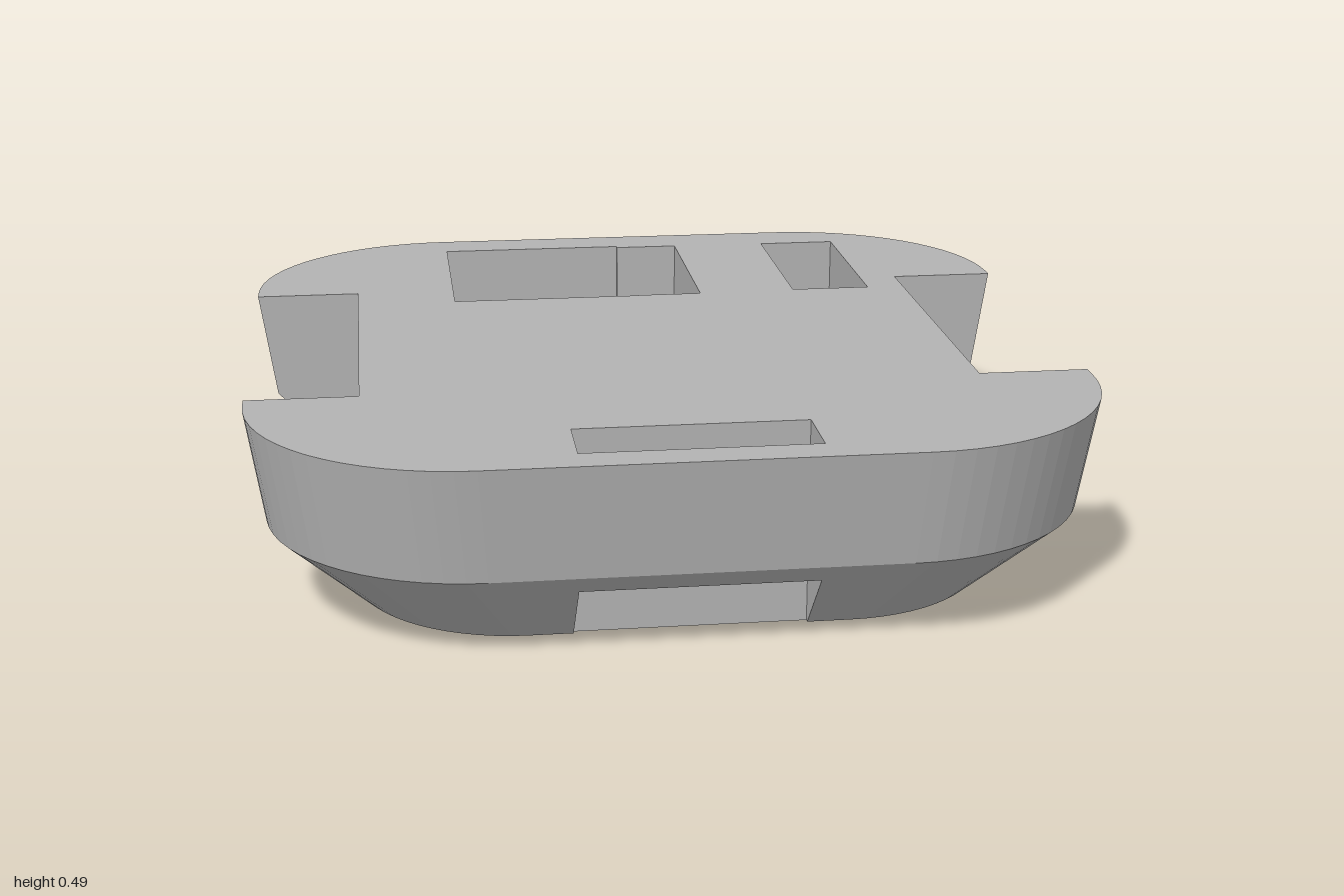
import * as THREE from 'three';

const V = (x, y, z) => new THREE.Vector3(x, y, z);
const EPS = 1e-6;

// Splits a convex polygon by a plane into the parts in front and behind.
function split(poly, plane) {
  const front = [], back = [];
  poly.forEach((a, i) => {
    const b = poly[(i + 1) % poly.length];
    const da = plane.distanceToPoint(a), db = plane.distanceToPoint(b);
    if (da >= -EPS) front.push(a);
    if (da <= EPS) back.push(a);
    if ((da > EPS && db < -EPS) || (da < -EPS && db > EPS)) {
      const p = a.clone().lerp(b, da / (da - db));
      front.push(p);
      back.push(p);
    }
  });
  const ok = (side, sign) => side.length > 2 &&
    side.some(p => sign * plane.distanceToPoint(p) > EPS) ? side : null;
  return { front: ok(front, 1), back: ok(back, -1) };
}

const planeOf = poly => new THREE.Plane().setFromCoplanarPoints(poly[0], poly[1], poly[2]);

// Part of a polygon inside a convex solid, or null.
function clipInside(poly, planes) {
  for (const plane of planes) {
    if (!poly) return null;
    poly = split(poly, plane).back;
  }
  return poly;
}

// Parts of a polygon outside a convex solid.
function cutAway(poly, planes) {
  if (!clipInside(poly, planes)) return [poly];
  const kept = [];
  for (const plane of planes) {
    const { front, back } = split(poly, plane);
    if (front) kept.push(front);
    if (!back) break;
    poly = back;
  }
  return kept;
}

// Six outward faces of an axis-aligned box.
function boxFaces([x0, x1], [y0, y1], [z0, z1]) {
  return [
    [V(x1, y0, z1), V(x1, y0, z0), V(x1, y1, z0), V(x1, y1, z1)],
    [V(x0, y0, z0), V(x0, y0, z1), V(x0, y1, z1), V(x0, y1, z0)],
    [V(x0, y1, z1), V(x1, y1, z1), V(x1, y1, z0), V(x0, y1, z0)],
    [V(x0, y0, z0), V(x1, y0, z0), V(x1, y0, z1), V(x0, y0, z1)],
    [V(x0, y0, z1), V(x1, y0, z1), V(x1, y1, z1), V(x0, y1, z1)],
    [V(x1, y0, z0), V(x0, y0, z0), V(x0, y1, z0), V(x1, y1, z0)],
  ];
}

// Rounded square with corner radius proportional to its half width.
function ring(half, y, steps = 16) {
  const pts = [], r = half * 0.51, c = half - r;
  [[1, 1], [-1, 1], [-1, -1], [1, -1]].forEach(([sx, sz], q) => {
    for (let i = 0; i <= steps; i++) {
      const a = (q + i / steps) * Math.PI / 2;
      pts.push(V(sx * c + r * Math.cos(a), y, sz * c + r * Math.sin(a)));
    }
  });
  return pts;
}

function band(lower, upper) {
  return lower.map((p, i) => {
    const j = (i + 1) % lower.length;
    return [p, upper[i], upper[j], lower[j]];
  });
}

function meshFrom(name, polys, material) {
  const pos = [];
  for (const p of polys) {
    for (let i = 1; i < p.length - 1; i++) {
      for (const v of [p[0], p[i], p[i + 1]]) pos.push(v.x, v.y, v.z);
    }
  }
  const geometry = new THREE.BufferGeometry();
  geometry.setAttribute('position', new THREE.Float32BufferAttribute(pos, 3));
  geometry.computeVertexNormals();
  const mesh = new THREE.Mesh(geometry, material);
  mesh.name = name;
  return mesh;
}

export function createModel() {
  const group = new THREE.Group();
  group.name = 'casing';
  const grey = new THREE.MeshStandardMaterial({ color: 0xb3b3b3 });
  grey.name = 'plain grey';

  // Convex outer body: base, chamfer, flared rim and top
  const base = ring(0.76, 0), waist = ring(0.96, 0.215), top = ring(1, 0.487);
  const shell = {
    bottomFace: [base],
    lowerChamfer: band(base, waist),
    upperRim: band(waist, top),
    topFace: [top.slice().reverse()],
  };
  const bodyPlanes = Object.values(shell).flat().map(planeOf);

  // Recesses and openings, as x, y and z ranges
  const cuts = [
    ['leftNotch', [0.735, 2], [0.167, 2], [-0.453, 0.453]],
    ['rightNotch', [-2, -0.735], [0.167, 2], [-0.453, 0.453]],
    ['frontSlot', [-0.27, 0.27], [-1, 2], [0.75, 0.914]],
    ['backSlot', [0.432, 0.638], [-1, 2], [-0.867, -0.355]],
    ['topPocket', [-0.48, 0.01], [0.25, 2], [-0.885, -0.343]],
    ['topPocketStep', [-0.1, 0.178], [0.26, 2], [-0.872, -0.346]],
    ['bottomRecess', [-0.51, 0.29], [-1, 0.13], [-0.5, 0.54]],
  ].map(([name, ...ranges]) => {
    const faces = boxFaces(...ranges);
    return { name, faces, planes: faces.map(planeOf) };
  });
  const cutAll = (polys, list) =>
    list.reduce((ps, cut) => ps.flatMap(p => cutAway(p, cut.planes)), polys);

  // Outer surfaces with the openings removed
  for (const [name, polys] of Object.entries(shell)) {
    group.add(meshFrom(name, cutAll(polys, cuts), grey));
  }

  // Inner walls and floors of each opening
  for (const cut of cuts) {
    const walls = cut.faces
      .map(f => clipInside(f.slice().reverse(), bodyPlanes))
      .filter(Boolean);
    group.add(meshFrom(cut.name, cutAll(walls, cuts.filter(c => c !== cut)), grey));
  }
  return group;
}
